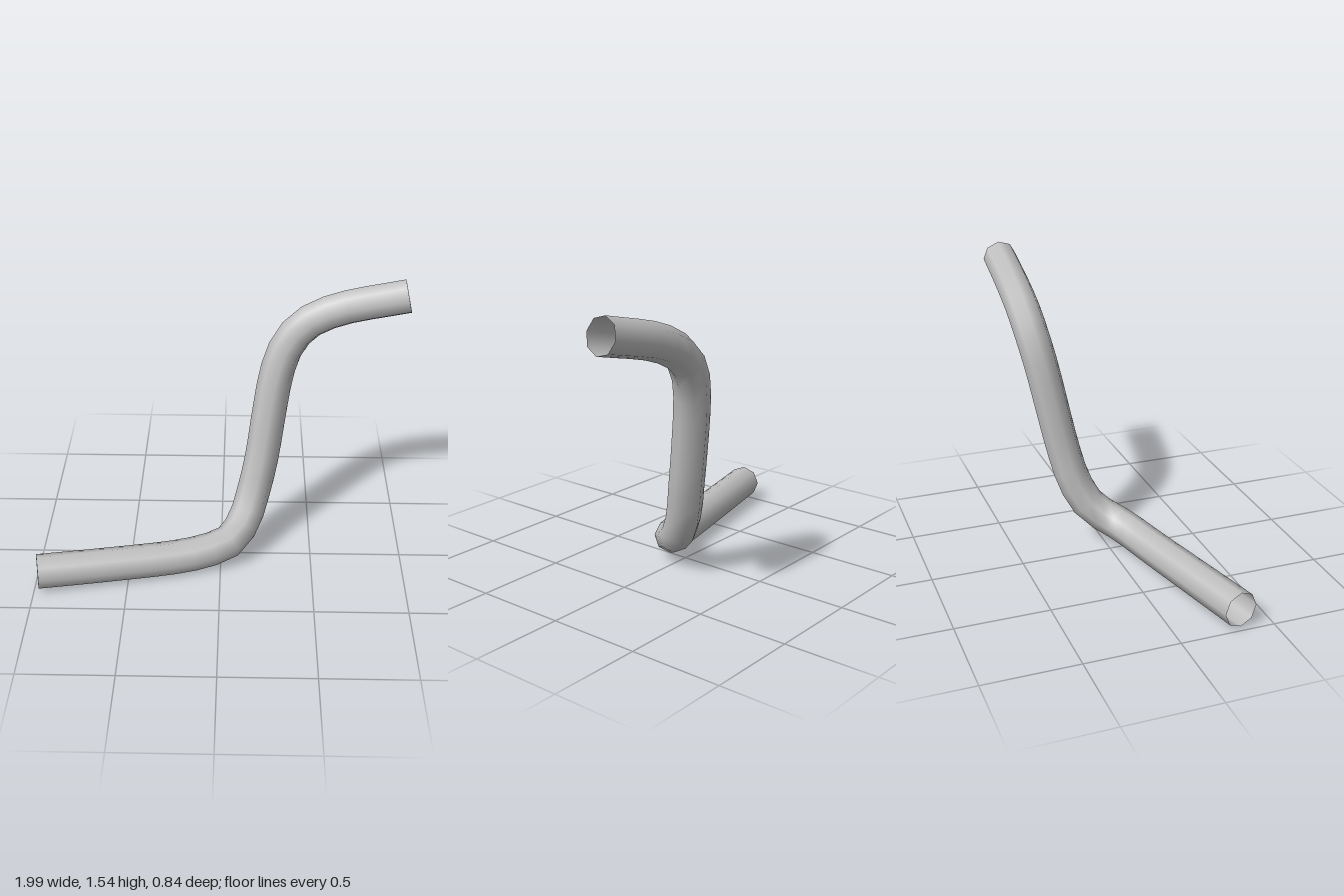
import * as THREE from 'three';

// Open bent pipe: one eight-sided smooth tube along a curved centreline
export function createModel() {
  const group = new THREE.Group();
  group.name = 'bentPipe';

  const greyMetal = new THREE.MeshStandardMaterial({ color: 0xc0c0c0, side: THREE.DoubleSide });
  greyMetal.name = 'greyMetal';

  // Centreline: low run, first bend, leaning riser, second bend, upper run
  const centreline = new THREE.CatmullRomCurve3([
    [-0.98, 0.11, 0.325],
    [-0.6, 0.101, 0.245],
    [-0.2, 0.098, 0.155],
    [-0.04, 0.113, 0.105],
    [0.06, 0.137, 0.05],
    [0.135, 0.21, -0.06],
    [0.18, 0.34, -0.135],
    [0.22, 0.52, -0.185],
    [0.258, 0.79, -0.24],
    [0.292, 1.0, -0.28],
    [0.33, 1.125, -0.305],
    [0.39, 1.225, -0.322],
    [0.47, 1.297, -0.33],
    [0.62, 1.365, -0.331],
    [0.972, 1.45, -0.315],
  ].map((p) => new THREE.Vector3(...p)));

  const pipe = new THREE.Mesh(new THREE.TubeGeometry(centreline, 28, 0.093, 8, false), greyMetal);
  pipe.name = 'pipe';
  group.add(pipe);
  return group;
}
